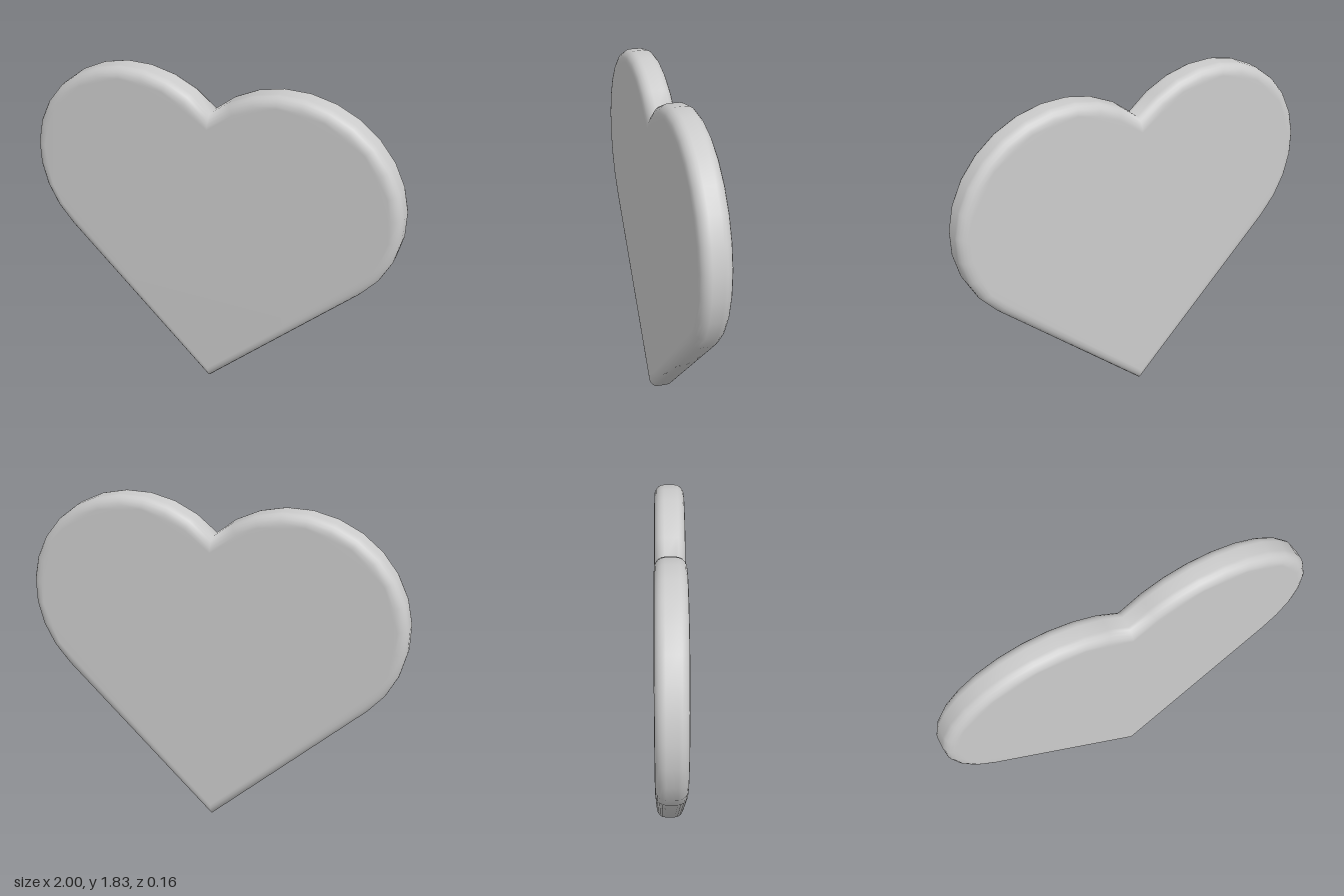
import * as THREE from 'three';
import { mergeVertices } from 'three/addons/utils/BufferGeometryUtils.js';

export function createModel() {
  const group = new THREE.Group();
  group.name = 'heart';

  // Outline: a square on its corner with a half circle on each upper side
  const r = 0.588, c = r * Math.SQRT1_2, segments = 14;
  const lobe = [];
  for (let i = 0; i <= segments; i++) {
    const a = -Math.PI / 4 + (Math.PI * i) / segments;
    lobe.push(new THREE.Vector2(c + r * Math.cos(a), 3 * c + r * Math.sin(a)));
  }
  lobe[segments].x = 0; // the cleft lies on the mirror line
  const mirrored = lobe.slice(0, -1).reverse().map((p) => new THREE.Vector2(-p.x, p.y));
  const outline = new THREE.Shape([new THREE.Vector2(0, 0), ...lobe, ...mirrored]);

  // Thin slab with a rounded rim, kept inside the outline
  const thickness = 0.155, bevelThickness = 0.05, bevelSize = 0.055;
  const depth = thickness - 2 * bevelThickness;
  let geometry = new THREE.ExtrudeGeometry(outline, {
    depth, bevelThickness, bevelSize, bevelOffset: -bevelSize, bevelSegments: 5,
  });
  geometry.translate(0, 0, -depth / 2);

  // Share vertices so that the rim blends smoothly into both faces
  geometry.deleteAttribute('normal');
  geometry.deleteAttribute('uv');
  geometry = mergeVertices(geometry, 1e-4);
  geometry.computeVertexNormals();

  const body = new THREE.Mesh(geometry, new THREE.MeshStandardMaterial({ color: 0xcccccc }));
  body.name = 'heartBody';
  group.add(body);
  return group;
}
